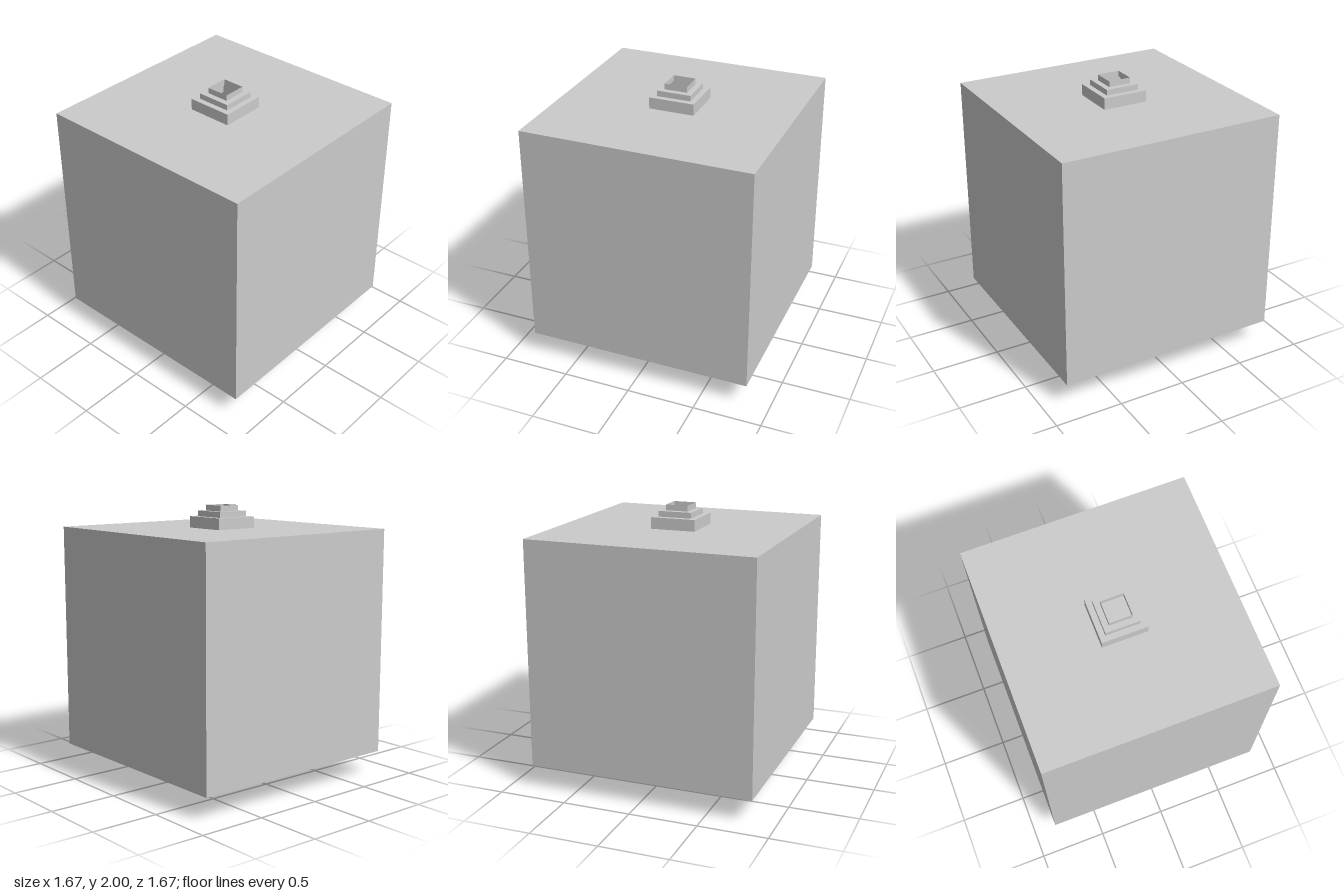
import * as THREE from 'three';

const material = new THREE.MeshStandardMaterial({
  color: 0xcccccc, flatShading: true, side: THREE.DoubleSide,
});

// Square shell swept round the y axis; profile points are [half width, height]
function squareShell(name, profile) {
  const points = profile.map(([w, y]) => new THREE.Vector2(w * Math.SQRT2, y));
  const mesh = new THREE.Mesh(new THREE.LatheGeometry(points, 4, Math.PI / 4), material);
  mesh.name = name;
  return mesh;
}

// Stepped square neck, open at its outer end, rising from y = 0
function steppedNeck(name) {
  const neck = new THREE.Group();
  neck.name = name;
  const tiers = [
    ['baseTier', 1 / 6, 0, 1 / 12, 1 / 8],
    ['middleTier', 1 / 8, 1 / 12, 1 / 8, 1 / 12],
    ['rimTier', 1 / 12, 1 / 8, 1 / 6, 1 / 12],
  ];
  for (const [tier, half, y0, y1, opening] of tiers) {
    const profile = [[half, y0], [half, y1]];
    if (opening < half) profile.push([opening, y1]); // ledge to the next tier
    neck.add(squareShell(tier, profile));
  }
  return neck;
}

export function createModel() {
  const model = new THREE.Group();
  model.name = 'cubeWithNecks';

  // Hollow cube with a square opening at top and bottom
  const half = 5 / 6, hole = 1 / 6, low = 1 / 6, high = 11 / 6;
  model.add(squareShell('cubeBody', [[hole, low], [half, low], [half, high], [hole, high]]));

  // Matching necks above and below
  const top = steppedNeck('topNeck');
  top.position.y = high;
  const bottom = steppedNeck('bottomNeck');
  bottom.rotation.x = Math.PI;
  bottom.position.y = low;
  model.add(top, bottom);

  return model;
}
